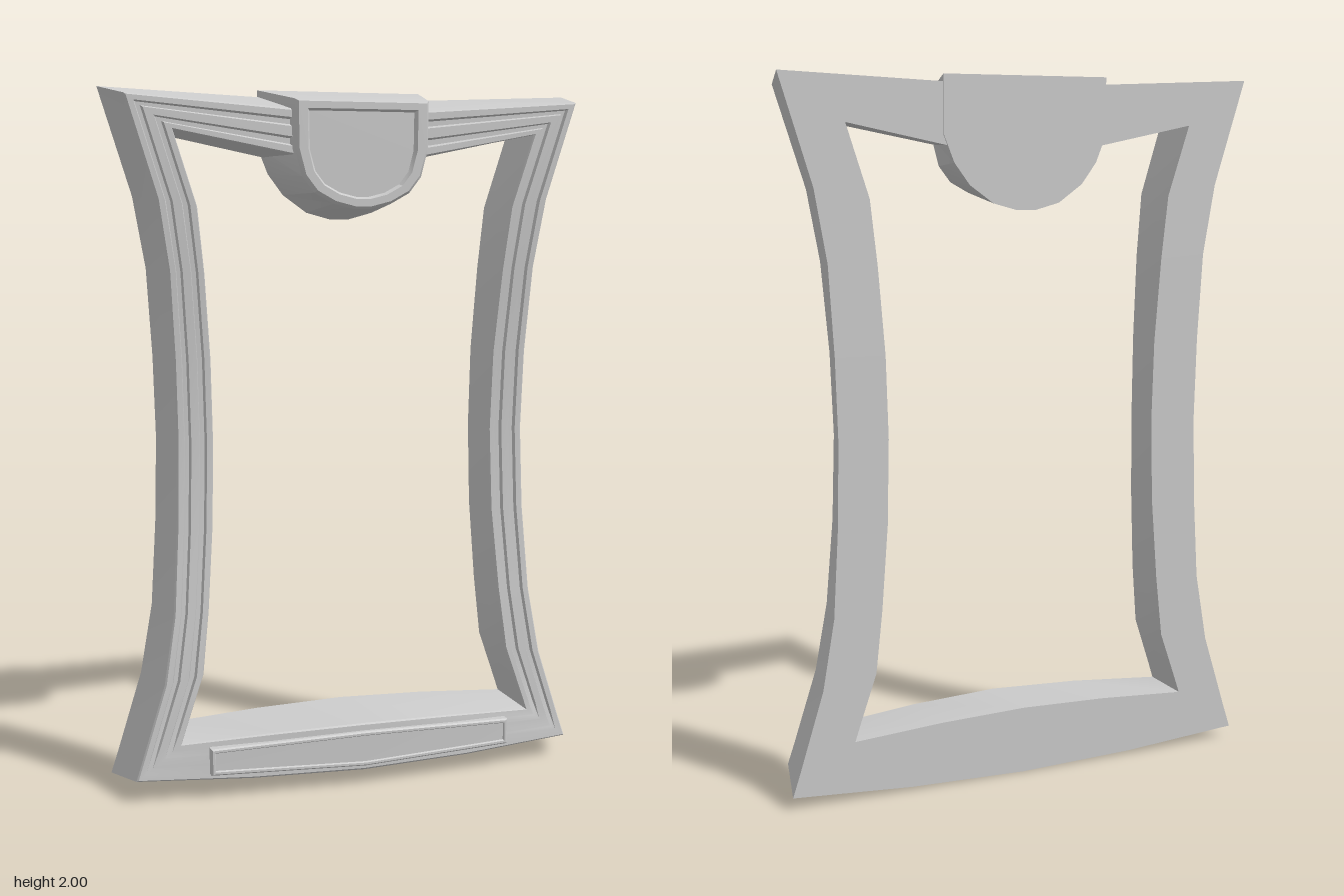
import * as THREE from 'three';
import { toCreasedNormals } from 'three/addons/utils/BufferGeometryUtils.js';

const material = new THREE.MeshStandardMaterial({ color: 0xcccccc });

// Skins a list of closed rings; either joins last to first or caps both ends.
function loft(name, rings, joined) {
  const n = rings[0].length, count = rings.length, index = [];
  const quad = (a, b, c, d) => index.push(a, b, c, a, c, d);
  for (let r = 0; r < (joined ? count : count - 1); r++) {
    const s = (r + 1) % count;
    for (let j = 0; j < n; j++) {
      const k = (j + 1) % n;
      quad(r * n + j, r * n + k, s * n + k, s * n + j);
    }
  }
  if (!joined) {
    // rings are left-right or top-bottom symmetric, so caps are strips of paired points
    const f = (count - 1) * n;
    for (let i = 0; i < n / 2 - 1; i++) {
      quad(f + i, f + i + 1, f + n - 2 - i, f + n - 1 - i);
      quad(n - 1 - i, n - 2 - i, i + 1, i);
    }
  }
  const geo = new THREE.BufferGeometry();
  geo.setAttribute('position', new THREE.Float32BufferAttribute(rings.flat(2), 3));
  geo.setIndex(index);
  const mesh = new THREE.Mesh(toCreasedNormals(geo, 0.35), material);
  mesh.name = name;
  return mesh;
}

// Bowed border with two grooves along its sides and top.
function makeFrame() {
  // outer x, outer y, inner x, inner y, front z, groove depth
  const half = [
    [0, 1.965, 0, 1.78, 0.07, 1],
    [0.24, 1.98, 0.2, 1.805, 0.07, 1],
    [0.703, 2.0, 0.52, 1.87, 0.067, 1],
    [0.61, 1.7, 0.455, 1.67, 0.06, 1],
    [0.575, 1.5, 0.435, 1.49, 0.046, 1],
    [0.56, 1.25, 0.416, 1.25, 0.027, 1],
    [0.554, 1.02, 0.41, 1.02, 0.02, 1],
    [0.56, 0.78, 0.416, 0.78, 0.027, 1],
    [0.575, 0.53, 0.435, 0.54, 0.046, 1],
    [0.61, 0.33, 0.455, 0.36, 0.06, 1],
    [0.68, 0.105, 0.505, 0.215, 0.064, 0.8],
    [0.703, 0.035, 0.52, 0.17, 0.066, 0],
    [0.35, 0.01, 0.26, 0.187, 0.095, 0],
    [0, 0, 0, 0.195, 0.11, 0],
  ];
  const mirrored = half.slice(1, -1).reverse().map(([a, b, c, ...rest]) => [-a, b, -c, ...rest]);
  // position across the band, drop below the front, whether the drop is a groove
  const profile = [
    [0.22, 0.006, 0], [0.25, 0, 0], [0.36, 0, 0],
    [0.39, 0.012, 1], [0.47, 0.012, 1], [0.5, 0, 0], [0.66, 0, 0],
    [0.69, 0.012, 1], [0.78, 0.012, 1], [0.81, 0, 0], [0.92, 0, 0], [0.94, 0.006, 0],
  ];
  const back = -0.122;
  const rings = [...half, ...mirrored].map(([ox, oy, ix, iy, z, depth]) => [
    [ox, oy, back],
    ...profile.map(([t, drop, groove]) => [
      ox + (ix - ox) * t, oy + (iy - oy) * t, z - drop * (groove ? depth : 1),
    ]),
    [ix, iy, back],
  ]);
  return loft('frame', rings, true);
}

// Shield that tapers forward, with a raised rim around a sunken face.
function makeShield() {
  const mirror = (side) => [...side.map(([x, y]) => [-x, y]), ...side.slice().reverse()];
  const rear = mirror([[0.245, 2], [0.245, 1.84], [0.215, 1.765], [0.17, 1.705], [0.1, 1.655], [0.03, 1.636]]);
  const front = mirror([[0.197, 1.965], [0.195, 1.83], [0.175, 1.755], [0.14, 1.71], [0.085, 1.68], [0.025, 1.665]]);
  const ring = (outline, z, s) => outline.map(([x, y]) => [x * s, 1.82 + (y - 1.82) * s, z]);
  return loft('shield', [
    ring(rear, -0.13, 1),
    ring(front, 0.083, 1),
    ring(front, 0.097, 0.95),
    ring(front, 0.097, 0.82),
    ring(front, 0.084, 0.78),
  ], false);
}

// Long bowed plate on the bottom bar, with a thin border.
function makePlate() {
  const ring = (inset, z) => [
    [-0.455 + inset, 0.073 + inset], [0, 0.06 + inset], [0.455 - inset, 0.073 + inset],
    [0.455 - inset, 0.15 - inset], [0, 0.163 - inset], [-0.455 + inset, 0.15 - inset],
  ].map(([x, y]) => [x, y, z + (x === 0 ? 0.02 : 0)]);
  return loft('plate', [ring(0, 0), ring(0, 0.1), ring(0.004, 0.105), ring(0.01, 0.105), ring(0.013, 0.1)], false);
}

export function createModel() {
  const model = new THREE.Group();
  model.name = 'borderFrame';
  model.add(makeFrame(), makeShield(), makePlate());
  return model;
}
